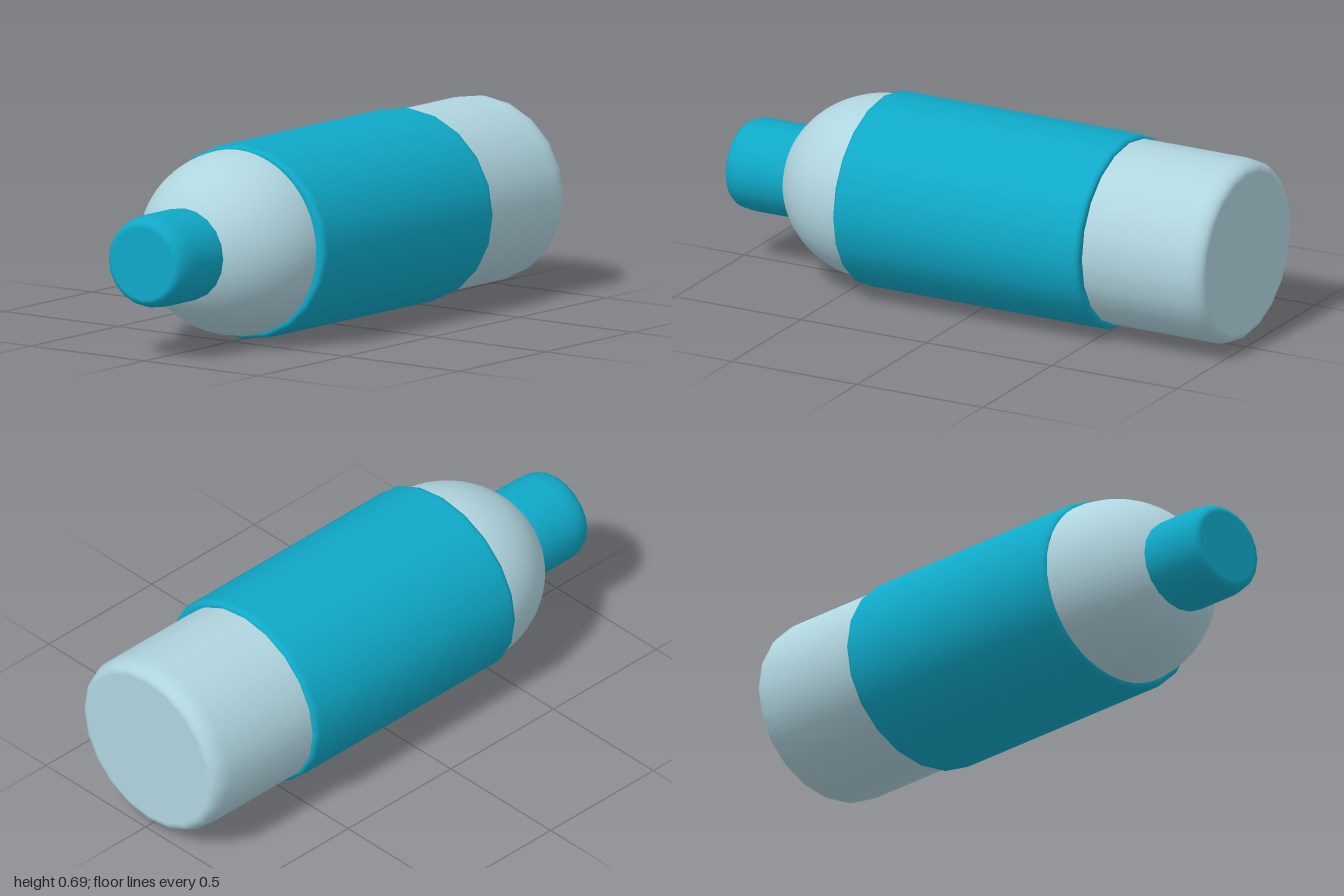
import * as THREE from 'three';

const SIDES = 20;
const teal = new THREE.MeshStandardMaterial({ color: 0x0fa9c8 });
const pale = new THREE.MeshStandardMaterial({ color: 0xb0d5df });

// Quarter-ellipse edge of a turned part; dir = -1 for the back end, 1 for the front end
function edge(z, r, bevelR, bevelZ, dir) {
  const points = [];
  for (let i = 0; i <= 5; i++) {
    const a = (i / 5) * Math.PI / 2;
    points.push(new THREE.Vector2(
      r - bevelR * (1 - Math.sin(a)),
      z - dir * bevelZ * (1 - Math.cos(a))));
  }
  return dir < 0 ? points : points.reverse();
}

// Spins a profile (radius, z) about the z axis and squashes it vertically
function turned(name, profile, sides, material, x, squash) {
  const geometry = new THREE.LatheGeometry(profile, sides);
  geometry.rotateX(Math.PI / 2);
  geometry.scale(1, squash, 1);
  const mesh = new THREE.Mesh(geometry, material);
  mesh.name = name;
  mesh.position.set(x, 0.347, 0);
  return mesh;
}

// Profile of a drum with rounded rims and flat ends that reach in to radius inner
function drum(z0, z1, r, bevelR, bevelZ, inner = 0) {
  const flat = r - bevelR - 0.006;
  const v = (a, b) => new THREE.Vector2(a, b);
  return [
    v(inner, z0), v(flat, z0),
    ...edge(z0, r, bevelR, bevelZ, -1),
    v(r, z0 + bevelZ + 0.01), v(r, z1 - bevelZ - 0.01),
    ...edge(z1, r, bevelR, bevelZ, 1),
    v(flat, z1), v(inner, z1),
  ];
}

export function createModel() {
  const group = new THREE.Group();
  group.name = 'bottle';

  // Main body, running on inside the sleeve
  group.add(turned('body', drum(-1, 0.44, 0.344, 0.038, 0.065), SIDES, pale, -0.009, 0.953));

  // Smooth domed shoulder
  const dome = [];
  for (let i = 0; i <= 20; i++) {
    const a = (i / 20) * Math.PI / 2;
    dome.push(new THREE.Vector2(0.344 * Math.cos(a), 0.44 + 0.367 * Math.sin(a)));
  }
  group.add(turned('shoulder', dome, 48, pale, -0.009, 0.953));

  // Wide sleeve around the middle
  group.add(turned('sleeve', drum(-0.53, 0.45, 0.37, 0.018, 0.022, 0.3), SIDES, teal, 0, 0.93));

  // Cap at the front
  group.add(turned('cap', drum(0.7, 1, 0.172, 0.032, 0.075), SIDES, teal, -0.009, 0.953));

  return group;
}
